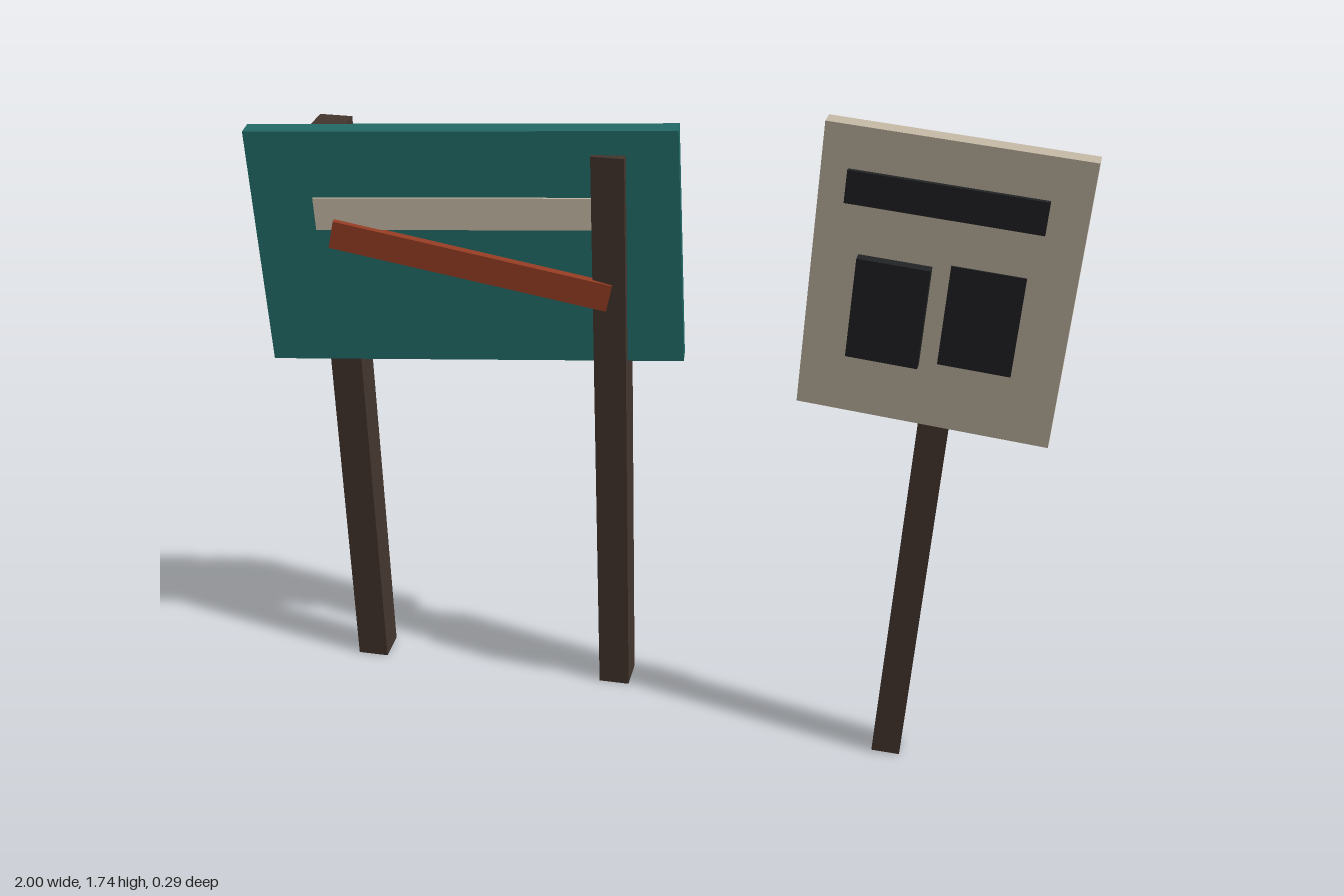
import * as THREE from 'three';

const mat = (name, color) => {
  const m = new THREE.MeshStandardMaterial({ color });
  m.name = name;
  return m;
};

export function createModel() {
  const teal = mat('teal paint', 0x236b68);
  const cream = mat('cream paint', 0xc6b9a6);
  const rust = mat('rust red', 0x933b22);
  const wood = mat('dark wood', 0x44362f);
  const black = mat('black paint', 0x222325);

  // Box with size, centre, yaw about y and roll about z
  const box = (parent, name, material, size, pos, yaw = 0, roll = 0) => {
    const mesh = new THREE.Mesh(new THREE.BoxGeometry(...size), material);
    mesh.name = name;
    mesh.position.set(...pos);
    mesh.rotation.set(0, yaw, roll);
    parent.add(mesh);
    return mesh;
  };

  const model = new THREE.Group();
  model.name = 'signs';

  // Wide sign: two upright posts and a slightly turned board
  const wide = new THREE.Group();
  wide.name = 'wideSign';
  model.add(wide);
  for (const [name, x, h] of [['rightPost', -0.82, 1.58], ['leftPost', -0.125, 1.555]]) {
    box(wide, name, wood, [0.082, h, 0.085], [x, h / 2, -0.102]);
  }
  const board = new THREE.Group();
  board.name = 'wideBoard';
  board.position.set(-0.472, 1.3, -0.059);
  board.rotation.set(0, 0.12, 0.028);
  wide.add(board);
  box(board, 'tealPanel', teal, [1.042, 0.612, 0.05], [0, 0, 0]);
  box(board, 'creamStripe', cream, [0.74, 0.083, 0.062], [0, 0.095, 0]); // shows on both faces
  box(board, 'slantedSlat', rust, [0.695, 0.072, 0.026], [0.005, -0.038, 0.033], 0, -0.248);

  // Tall sign: one leaning post, a cream board and dark panels
  const tall = new THREE.Group();
  tall.name = 'tallSign';
  model.add(tall);
  const yaw = -0.1, roll = -0.052;
  box(tall, 'leaningPost', wood, [0.073, 1.664, 0.076], [0.681, 0.834, 0.063], 0, roll);
  box(tall, 'creamPanel', cream, [0.6, 0.715, 0.04], [0.68, 1.368, 0.091], yaw, roll);
  box(tall, 'headerBar', black, [0.45, 0.08, 0.058], [0.678, 1.583, 0.092], yaw, roll);
  for (const [name, x] of [['rightWindow', 0.567], ['leftWindow', 0.78]]) {
    box(tall, name, black, [0.17, 0.252, 0.05], [x, 1.299, 0.1], yaw, roll);
  }
  box(tall, 'backPatch', rust, [0.22, 0.14, 0.03], [0.812, 1.1, 0.07], yaw, roll);

  return model;
}
